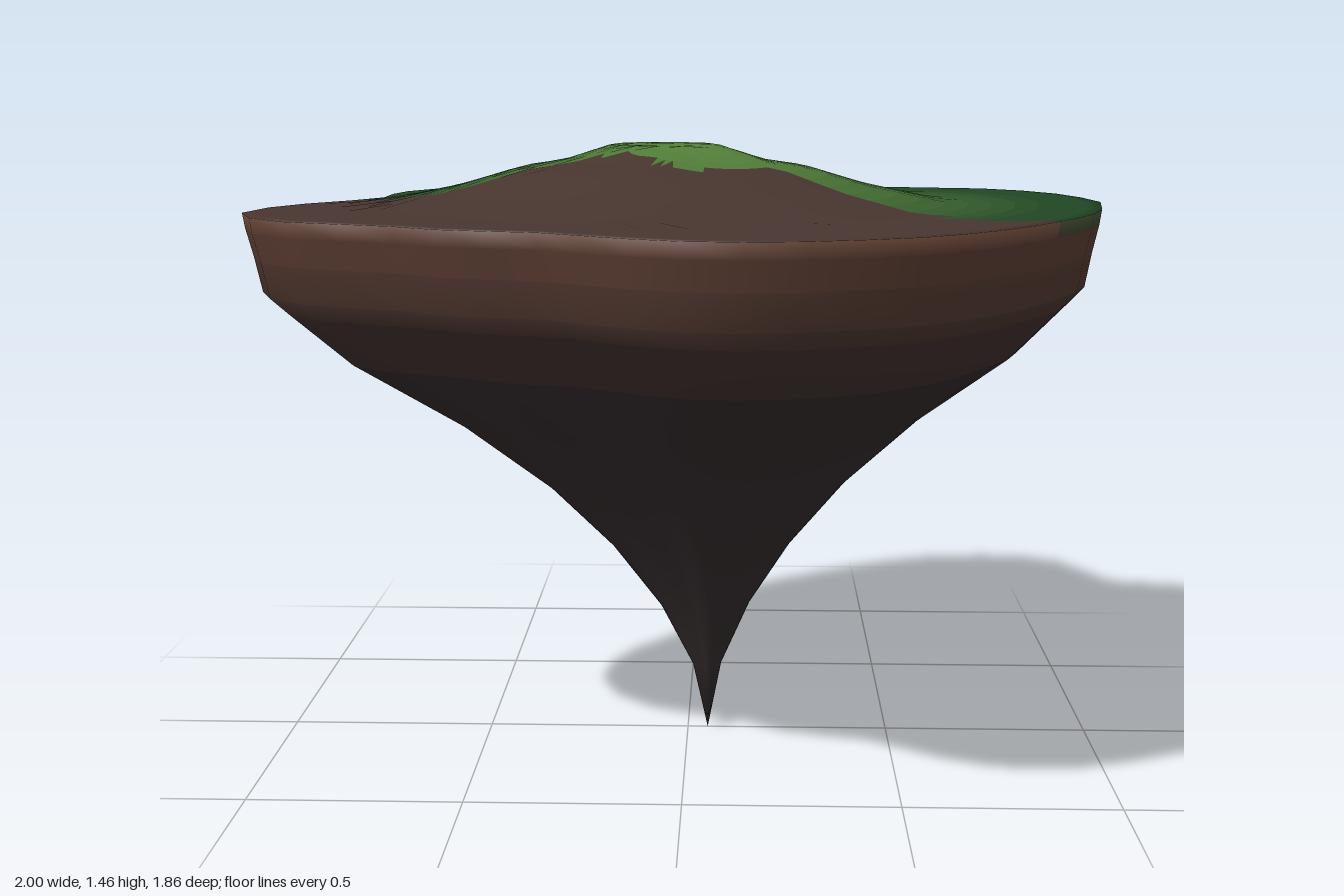
import * as THREE from 'three';

// Shoreline of the island seen from above, counter-clockwise (x, z)
const OUTLINE = [
  [1, -0.1], [0.98, -0.25], [0.94, -0.38], [0.87, -0.49], [0.77, -0.57], [0.63, -0.6],
  [0.5, -0.63], [0.44, -0.74], [0.37, -0.86], [0.26, -0.92], [0.13, -0.93], [0, -0.92],
  [-0.11, -0.89], [-0.22, -0.84], [-0.33, -0.78], [-0.44, -0.71], [-0.54, -0.64], [-0.62, -0.58],
  [-0.69, -0.52], [-0.75, -0.42], [-0.77, -0.32], [-0.77, -0.2], [-0.83, -0.1], [-0.92, 0.01],
  [-0.98, 0.13], [-1, 0.28], [-0.95, 0.41], [-0.85, 0.51], [-0.73, 0.56], [-0.6, 0.61],
  [-0.5, 0.68], [-0.4, 0.71], [-0.28, 0.74], [-0.19, 0.8], [-0.1, 0.86], [0.01, 0.91],
  [0.13, 0.925], [0.25, 0.91], [0.37, 0.87], [0.48, 0.82], [0.57, 0.75], [0.66, 0.66],
  [0.74, 0.56], [0.81, 0.45], [0.87, 0.35], [0.92, 0.25], [0.96, 0.13], [0.98, 0.02],
];
const CX = 0.05; // the tip and every ring are centred here
const RIM_Y = 1.32;
const TOP_STEPS = [0, 0.06, 0.12, 0.18, 0.24, 0.3, 0.36, 0.42, 0.48, 0.54, 0.6, 0.66, 0.72, 0.78, 0.84, 0.9, 0.96, 1];
// Rock profile below the rim: [height, share of the outline]
const ROCK = [
  [1.285, 0.995], [1.22, 0.98], [1.14, 0.965], [1.1, 0.925], [0.98, 0.8], [0.82, 0.565],
  [0.65, 0.365], [0.49, 0.22], [0.33, 0.11], [0.17, 0.035], [0, 0],
];
// Hill height by distance, and the grass edge as z by x
const HILL = [[0, 0.14], [0.13, 0.138], [0.25, 0.1], [0.35, 0.085], [0.5, 0.04], [0.69, 0]];
const GRASS_EDGE = [[-0.95, -0.16], [-0.8, -0.1], [-0.6, 0.06], [-0.2, 0.04], [0.03, 0.2], [0.2, 0.08], [0.45, 0.22], [0.7, 0.46], [1, 0.47]];

// Linear interpolation through a list of [x, y] points
function sample(points, x) {
  if (x <= points[0][0]) return points[0][1];
  for (let i = 1; i < points.length; i++) {
    const [x0, y0] = points[i - 1], [x1, y1] = points[i];
    if (x <= x1) return THREE.MathUtils.lerp(y0, y1, (x - x0) / (x1 - x0));
  }
  return points[points.length - 1][1];
}

const mix = (a, b, t) => new THREE.Color(a).lerp(new THREE.Color(b), THREE.MathUtils.clamp(t, 0, 1));

export function createModel() {
  const island = new THREE.Group();
  island.name = 'floatingIsland';
  const n = OUTLINE.length;
  const topBands = TOP_STEPS.length - 1;
  const position = [];

  // Rings run from the hilltop out to the rim, then down to the tip
  for (const s of TOP_STEPS) {
    for (const [px, pz] of OUTLINE) {
      const x = CX + (px - CX) * s, z = pz * s;
      position.push(x, RIM_Y + sample(HILL, Math.hypot(x + 0.06, z + 0.09)), z);
    }
  }
  for (const [y, s] of ROCK) {
    for (const [px, pz] of OUTLINE) position.push(CX + (px - CX) * s, y, pz * s);
  }
  const lastRing = TOP_STEPS.length + ROCK.length - 1;
  const vertex = (r, i) => r * n + (r === 0 || r === lastRing ? 0 : i % n);

  // Sort the faces into grass, soil and rock bands
  const bands = new Map();
  const all = [];
  function addFace(name, color, face) {
    if (new Set(face).size < 3) return;
    if (!bands.has(name)) bands.set(name, { color, index: [] });
    bands.get(name).index.push(...face);
    all.push(...face);
  }
  const isGrass = (face) => {
    let x = 0, z = 0;
    for (const v of face) {
      x += position[v * 3] / 3;
      z += position[v * 3 + 2] / 3;
    }
    return z < sample(GRASS_EDGE, x);
  };
  for (let r = 0; r < lastRing; r++) {
    for (let i = 0; i < n; i++) {
      const a = vertex(r, i), b = vertex(r + 1, i), c = vertex(r + 1, i + 1), d = vertex(r, i + 1);
      for (const face of [[a, b, c], [a, c, d]]) {
        if (r < topBands) {
          if (isGrass(face)) addFace('grass' + r, mix(0x55833a, 0x214724, (r / topBands) * 1.25), face);
          else addFace('soil', new THREE.Color(0x47352f), face);
        } else if (r === topBands && isGrass(face)) {
          addFace('grassFringe', new THREE.Color(0x38402a), face);
        } else {
          addFace('rock' + (r - topBands), mix(0x5c3d30, 0x2f2728, (r - topBands) / 5), face);
        }
      }
    }
  }

  // Smooth normals are worked out once over the closed surface and shared by all bands
  const surface = new THREE.BufferGeometry();
  surface.setAttribute('position', new THREE.Float32BufferAttribute(position, 3));
  surface.setIndex(all);
  surface.computeVertexNormals();

  for (const [name, { color, index }] of bands) {
    const geometry = new THREE.BufferGeometry();
    geometry.setAttribute('position', surface.getAttribute('position'));
    geometry.setAttribute('normal', surface.getAttribute('normal'));
    geometry.setIndex(index);
    const mesh = new THREE.Mesh(geometry, new THREE.MeshStandardMaterial({ color }));
    mesh.name = name;
    island.add(mesh);
  }
  return island;
}
